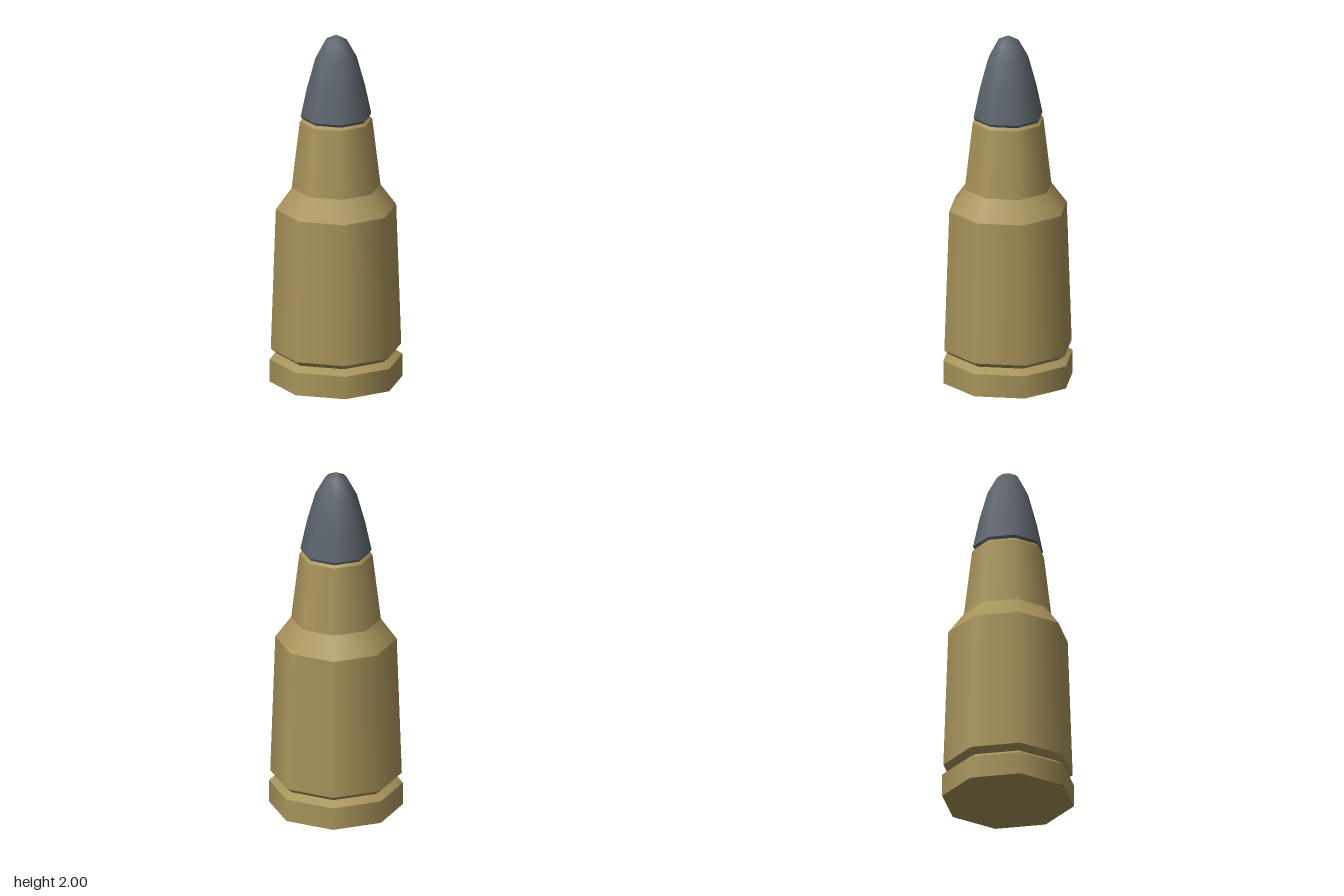
import * as THREE from 'three';
import { mergeGeometries } from 'three/addons/utils/BufferGeometryUtils.js';

const SIDES = 8;
const lathe = (pts) => new THREE.LatheGeometry(pts.map(([r, y]) => new THREE.Vector2(r, y)), SIDES);

// One band per profile step: smooth around the axis, sharp between bands
const bandedLathe = (pts) =>
  mergeGeometries(pts.slice(1).map((p, i) => lathe([pts[i], p])));

export function createModel() {
  const brass = new THREE.MeshStandardMaterial({ color: 0xa8935a });
  brass.name = 'brass';
  const lead = new THREE.MeshStandardMaterial({ color: 0x5a626a });
  lead.name = 'lead grey';

  const model = new THREE.Group();
  model.name = 'cartridge';
  const add = (name, geometry, material) => {
    const mesh = new THREE.Mesh(geometry, material);
    mesh.name = name;
    model.add(mesh);
  };

  // Flat base, rim and the slope into the extractor groove
  add('rim', bandedLathe([[0, 0], [0.37, 0], [0.37, 0.13], [0.325, 0.16]]), brass);

  // Tapered case body, shoulder, neck and mouth
  add('caseBody', bandedLathe([[0.325, 0.16], [0.364, 0.19], [0.336, 1.0]]), brass);
  add('shoulder', lathe([[0.336, 1.0], [0.248, 1.12]]), brass);
  add('neck', bandedLathe([[0.248, 1.12], [0.202, 1.505], [0.188, 1.52]]), brass);

  // Rounded bullet with a small chamfer where it enters the mouth
  add('bulletChamfer', lathe([[0.188, 1.52], [0.197, 1.535]]), lead);
  add('bullet', lathe([[0.197, 1.535], [0.162, 1.7], [0.115, 1.87], [0.06, 1.97], [0, 2]]), lead);

  return model;
}
